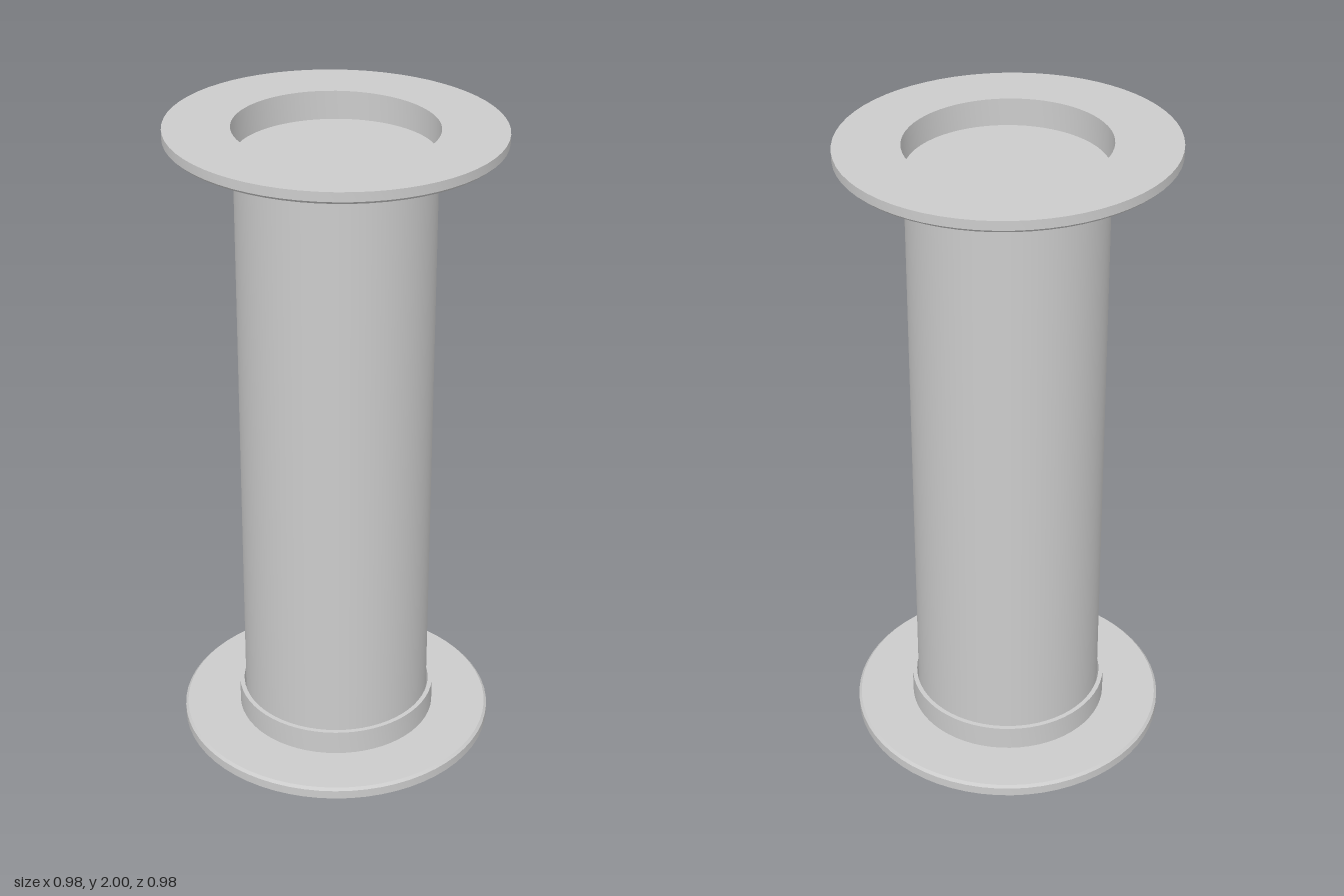
import * as THREE from 'three';
import { toCreasedNormals } from 'three/addons/utils/BufferGeometryUtils.js';

const SEGMENTS = 64;
const material = new THREE.MeshStandardMaterial({ color: 0xcccccc });

// Flange plate with a short collar, standing on y = 0 with the collar upwards
function flangeGeometry() {
  const inner = 0.298, collar = 0.312, outer = 0.491;
  const thickness = 0.036, height = 0.115, bevel = 0.008;
  const profile = [
    [inner, 0],
    [outer, 0],
    [outer, thickness - bevel],
    [outer - bevel, thickness],
    [collar, thickness],
    [collar, height],
    [inner, height],
    [inner, 0],
  ].map(([r, y]) => new THREE.Vector2(r, y));
  return toCreasedNormals(new THREE.LatheGeometry(profile, SEGMENTS), 0.5);
}

export function createModel() {
  const group = new THREE.Group();
  group.name = 'flangedSpool';

  // Closed core, recessed inside both flanges
  const bottom = 0.04, top = 1.91;
  const core = new THREE.Mesh(
    new THREE.CylinderGeometry(0.293, 0.293, top - bottom, SEGMENTS), material);
  core.name = 'core';
  core.position.y = (bottom + top) / 2;
  group.add(core);

  // Lower flange sits flat
  const geometry = flangeGeometry();
  const lower = new THREE.Mesh(geometry, material);
  lower.name = 'lowerFlange';
  group.add(lower);

  // Upper flange is turned over and leans slightly towards +x
  const upper = new THREE.Mesh(geometry, material);
  upper.name = 'upperFlange';
  upper.position.y = 1.993;
  upper.rotation.z = Math.PI - 0.014;
  group.add(upper);

  return group;
}
